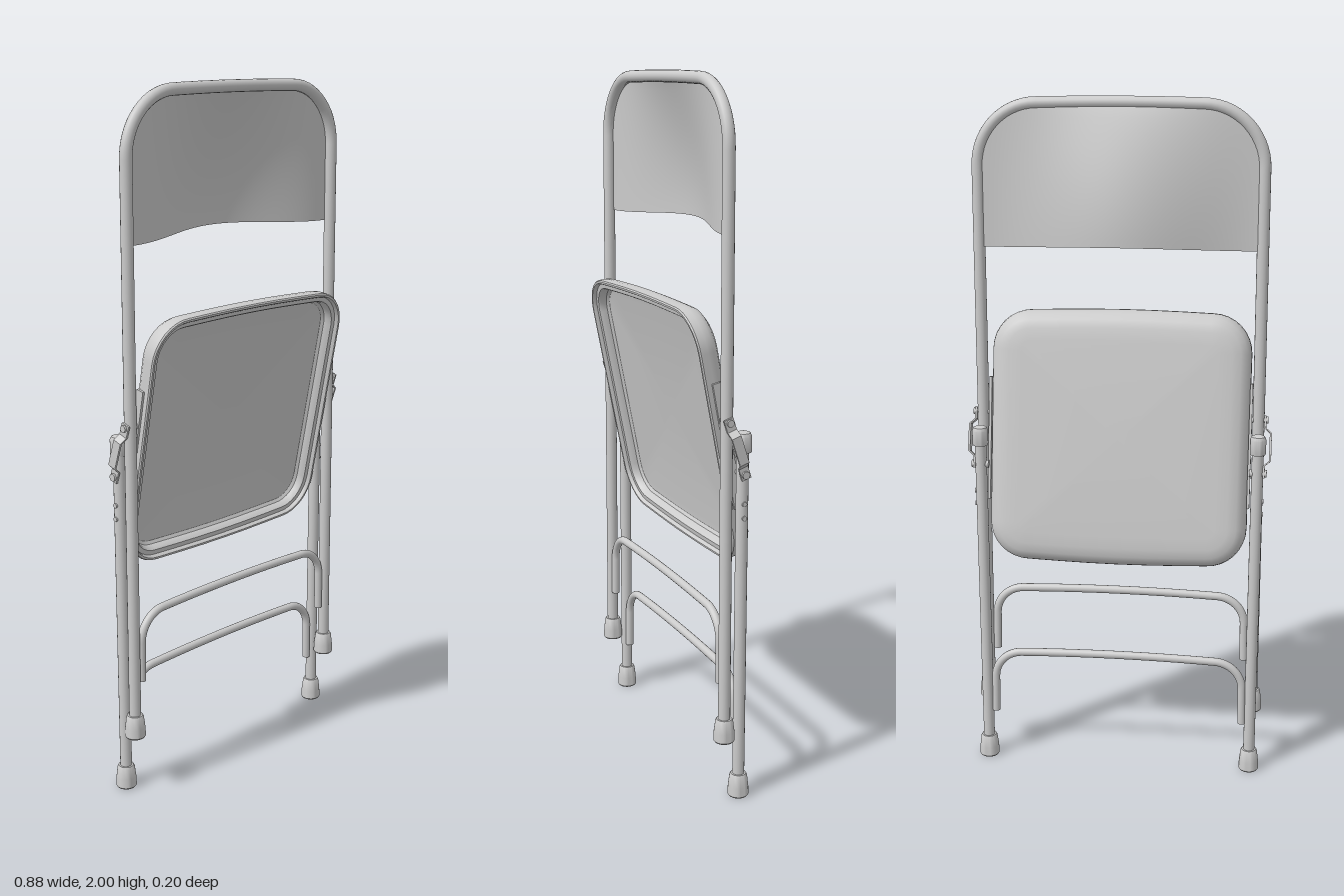
import * as THREE from 'three';
import { toCreasedNormals } from 'three/addons/utils/BufferGeometryUtils.js';

const grey = new THREE.MeshStandardMaterial({ color: 0xcccccc });
const greyDouble = new THREE.MeshStandardMaterial({ color: 0xcccccc, side: THREE.DoubleSide });
const FRONT_Z = 0.013, REAR_Z = -0.035, LEG_X = 0.403;

function add(parent, name, geometry, x = 0, y = 0, z = 0, material = grey) {
  const mesh = new THREE.Mesh(geometry, material);
  mesh.name = name;
  mesh.position.set(x, y, z);
  parent.add(mesh);
  return mesh;
}

// Upside-down U of bent tube, slightly bowed along its top
function hoop(xBottom, xTop, yBottom, yTop, bend, radius, bow, steps) {
  const v = (x, y) => new THREE.Vector3(x, y, 0);
  const yc = yTop - bow, k = bend * 0.45;
  const path = new THREE.CurvePath();
  path.add(new THREE.LineCurve3(v(-xBottom, yBottom), v(-xTop, yc - bend)));
  path.add(new THREE.CubicBezierCurve3(v(-xTop, yc - bend), v(-xTop, yc - k), v(-xTop + k, yc), v(-xTop + bend, yc)));
  path.add(new THREE.QuadraticBezierCurve3(v(-xTop + bend, yc), v(0, yTop + bow), v(xTop - bend, yc)));
  path.add(new THREE.CubicBezierCurve3(v(xTop - bend, yc), v(xTop - k, yc), v(xTop, yc - k), v(xTop, yc - bend)));
  path.add(new THREE.LineCurve3(v(xTop, yc - bend), v(xBottom, yBottom)));
  return new THREE.TubeGeometry(path, steps, radius, 16, false);
}

function lathe(points) {
  const g = new THREE.LatheGeometry(points.map(([r, y]) => new THREE.Vector2(r, y)), 24);
  return toCreasedNormals(g, 0.6);
}

// Rounded rectangle ring, counter-clockwise, with gently bowed ends
function ring(halfW, halfH, radius, z, scale = 1) {
  const points = [];
  for (let c = 0; c < 4; c++) {
    const sx = c === 0 || c === 3 ? 1 : -1, sy = c < 2 ? 1 : -1;
    for (let i = 0; i <= 8; i++) {
      const a = (c + i / 8) * Math.PI / 2;
      const x = sx * (halfW - radius) + radius * Math.cos(a);
      const y = sy * (halfH - radius) + radius * Math.sin(a);
      points.push([x * scale, y * scale, z]);
    }
    if (c === 0 || c === 2) {
      for (let i = 1; i < 6; i++) {
        const x = sx * (halfW - radius) * (1 - i / 3);
        points.push([x * scale, sy * (halfH + 0.006 * Math.sin(i * Math.PI / 6)) * scale, z]);
      }
    }
  }
  return points;
}

function loft(rings) {
  const n = rings[0].length, index = [];
  for (let r = 0; r < rings.length - 1; r++) {
    for (let i = 0; i < n; i++) {
      const a = r * n + i, b = r * n + (i + 1) % n;
      index.push(a, b, b + n, a, b + n, a + n);
    }
  }
  const g = new THREE.BufferGeometry();
  g.setAttribute('position', new THREE.Float32BufferAttribute(rings.flat(2), 3));
  g.setIndex(index);
  g.computeVertexNormals();
  return toCreasedNormals(g, 0.6);
}

// Sheet that fills the top of the frame and dishes backwards
function backrestGeometry() {
  const g = new THREE.PlaneGeometry(1, 1, 48, 20), p = g.attributes.position;
  for (let i = 0; i < p.count; i++) {
    const x = p.getX(i) * 0.792, t = 0.5 - p.getY(i);
    const bell = 0.5 + 0.5 * Math.cos(Math.PI * Math.min(1, Math.abs(x) / 0.385));
    const c = Math.min(1, Math.max(0, (Math.abs(x) - 0.24) / 0.157));
    const top = 1.833 + 0.15 * Math.sqrt(1 - c * c);
    const bottom = 1.585 + 0.015 * bell;
    const dish = Math.pow(Math.sin(t * Math.PI / 2), 0.9);
    p.setXYZ(i, x, top + (bottom - top) * t, 0.005 - 0.081 * bell * dish);
  }
  g.computeVertexNormals();
  return g;
}

// Folding link: strap with its middle stepped outwards
function linkGeometry() {
  const outline = [[0, -0.09], [0, -0.055], [0.017, -0.04], [0.017, 0.04], [0, 0.055], [0, 0.09]];
  const inner = outline.map(([x, y]) => [x - 0.006, y]).reverse();
  const shape = new THREE.Shape([...outline, ...inner].map(([x, y]) => new THREE.Vector2(x, y)));
  return new THREE.ExtrudeGeometry(shape, { depth: 0.028, bevelEnabled: false }).translate(0, 0, -0.014);
}

function rivet(parent, side, x, y, z, radius, length) {
  const g = new THREE.CylinderGeometry(radius, radius, length, 12).rotateZ(Math.PI / 2);
  add(parent, 'rivet', g, side * x, y, z);
}

export function createModel() {
  const chair = new THREE.Group();
  chair.name = 'foldingChair';

  // Front frame and backrest
  add(chair, 'frontFrame', hoop(0.406, 0.398, 0.2, 1.983, 0.17, 0.017, 0.003, 220), 0, 0, FRONT_Z);
  add(chair, 'backrest', backrestGeometry(), 0, 0, 0, greyDouble);

  // Cross braces of both leg pairs
  add(chair, 'frontBrace', hoop(0.378, 0.376, 0.345, 0.553, 0.085, 0.012, 0.006, 120), 0, 0, FRONT_Z, greyDouble);
  add(chair, 'rearBrace', hoop(0.378, 0.376, 0.155, 0.36, 0.085, 0.012, 0.006, 120), 0, 0, REAR_Z, greyDouble);

  // Seat: padded outer side, rolled rim and recessed underside
  const seat = new THREE.Group();
  seat.name = 'seat';
  seat.position.set(0, 1.028, 0.031);
  seat.rotation.x = 0.195;
  chair.add(seat);
  const profile = [
    [0.09, -0.074, 0], [0.09, -0.073], [0.055, -0.071], [0.03, -0.066], [0.014, -0.056], [0.005, -0.042],
    [0.001, -0.025], [0, -0.004], [0.003, 0], [0.009, 0], [0.012, -0.004], [0.013, -0.012],
    [0.027, -0.012], [0.031, -0.017], [0.034, -0.035], [0.042, -0.042], [0.06, -0.044], [0.06, -0.045, 0],
  ];
  add(seat, 'seatPan', loft(profile.map(([inset, z, scale = 1]) =>
    ring(0.377 - inset, 0.368 - inset, 0.115 - inset, z, scale))));

  const foot = lathe([[0, 0], [0.027, 0], [0.03, 0.004], [0.029, 0.03], [0.025, 0.062], [0.022, 0.068], [0.015, 0.068]]);
  const cap = lathe([[0.016, 0], [0.022, 0], [0.023, 0.004], [0.023, 0.044], [0.019, 0.053], [0.01, 0.057], [0, 0.058]]);

  for (const side of [1, -1]) {
    const name = side > 0 ? 'left' : 'right';

    // Rear leg with foot and top cap
    add(chair, name + 'RearLeg', new THREE.CylinderGeometry(0.017, 0.017, 1.0, 16), side * LEG_X, 0.53, REAR_Z);
    add(chair, name + 'RearFoot', foot, side * LEG_X, 0.002, REAR_Z);
    add(chair, name + 'RearCap', cap, side * LEG_X, 1.012, REAR_Z - 0.002);
    add(chair, name + 'FrontFoot', foot, side * 0.406, 0.18, FRONT_Z);

    // Folding link and its pivots
    const link = add(chair, name + 'Link', linkGeometry(), side * 0.424, 1.026, -0.01);
    link.rotation.set(0.32, side > 0 ? 0 : Math.PI, 0);
    if (side < 0) link.rotation.x = -0.32, link.rotation.order = 'YXZ';
    rivet(chair, side, 0.405, 1.1, 0.014, 0.01, 0.05);
    rivet(chair, side, 0.405, 0.953, -0.034, 0.011, 0.05);
    for (const y of [0.87, 0.83]) rivet(chair, side, 0.412, y, -0.034, 0.007, 0.022);

    // Strap that ties the seat edge to the frame
    add(seat, name + 'SeatStrap', new THREE.BoxGeometry(0.008, 0.36, 0.026), side * 0.379, -0.01, -0.032);
  }
  return chair;
}
